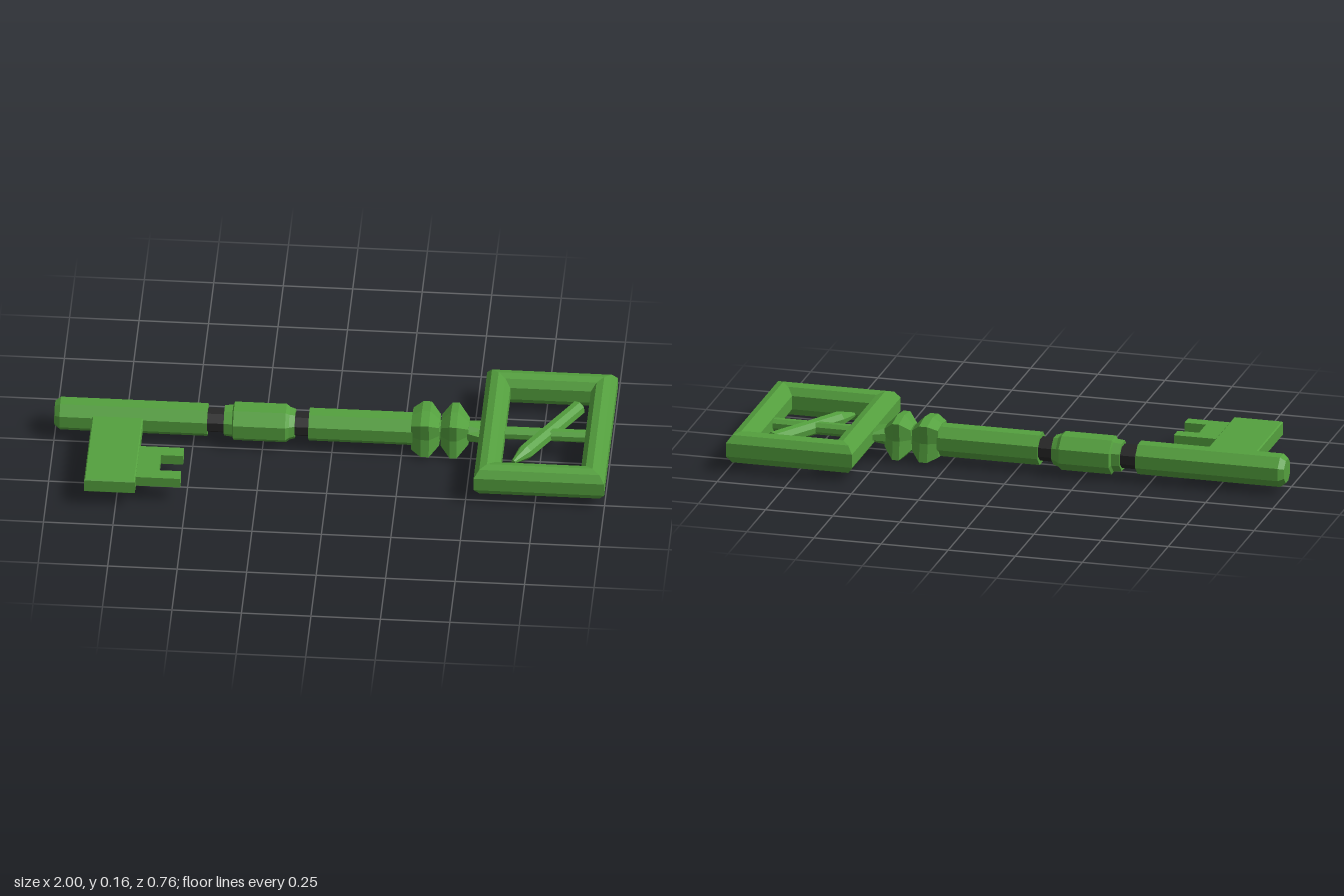
import * as THREE from 'three';

const AXIS_Y = 0.08, AXIS_Z = -0.058;
const green = new THREE.MeshStandardMaterial({ color: 0x54a03e, flatShading: true });
const dark = new THREE.MeshStandardMaterial({ color: 0x262626, flatShading: true });

// Skin a list of rings of [x, y, z]; either closed on itself or capped at both ends.
function skin(rings, closed = false) {
  const pos = [], n = rings[0].length, last = rings.length - 1;
  const tri = (...corners) => corners.forEach(c => pos.push(...c));
  for (let i = 0; i < (closed ? rings.length : last); i++) {
    const p = rings[i], q = rings[(i + 1) % rings.length];
    for (let j = 0; j < n; j++) {
      const k = (j + 1) % n;
      tri(p[j], p[k], q[j]);
      tri(p[k], q[k], q[j]);
    }
  }
  if (!closed) for (let j = 1; j < n - 1; j++) {
    tri(rings[0][0], rings[0][j + 1], rings[0][j]);
    tri(rings[last][0], rings[last][j], rings[last][j + 1]);
  }
  const g = new THREE.BufferGeometry();
  g.setAttribute('position', new THREE.Float32BufferAttribute(pos, 3));
  g.computeVertexNormals();
  return g;
}

// Octagon with flats facing up, down, front and back (unit half-width).
const octagon = Array.from({ length: 8 }, (_, i) => {
  const a = (i + 0.5) * Math.PI / 4, r = 1 / Math.cos(Math.PI / 8);
  return [r * Math.cos(a), r * Math.sin(a)];
});
// Square with peaked top and bottom and pinched sides, used for the knobs.
const peaked = [[1, 0], [0.85, 0.97], [0, 0.85], [-0.85, 0.97],
  [-1, 0], [-0.85, -0.97], [0, -0.85], [0.85, -0.97]];

// Sections are [x, half height, half depth].
const alongX = (outline, sections) => skin(sections.map(([x, h, d = h]) =>
  outline.map(([y, z]) => [x, AXIS_Y + y * h, AXIS_Z + z * d])));

export function createModel() {
  const key = new THREE.Group();
  key.name = 'key';
  const add = (name, geometry, material = green, parent = key) => {
    const m = new THREE.Mesh(geometry, material);
    m.name = name;
    parent.add(m);
    return m;
  };

  // Shaft, bands and collar
  add('shaftTip', alongX(octagon, [[-1, 0.042], [-0.98, 0.056], [-0.45, 0.056]]));
  add('shaftMiddle', alongX(octagon, [[-0.085, 0.056], [0.29, 0.056]]));
  add('collar', alongX(octagon, [[-0.39, 0.052], [-0.36, 0.055], [-0.355, 0.064, 0.071],
    [-0.168, 0.064, 0.071], [-0.155, 0.055, 0.06], [-0.135, 0.05]]));
  add('outerBand', alongX(octagon, [[-0.46, 0.04, 0.046], [-0.38, 0.04, 0.046]]), dark);
  add('innerBand', alongX(octagon, [[-0.145, 0.04, 0.046], [-0.075, 0.04, 0.046]]), dark);

  // Knobs and the flared neck that meets the bow
  add('innerKnob', alongX(peaked, [[0.285, 0.06], [0.32, 0.08], [0.35, 0.08], [0.385, 0.045]]));
  add('knobNeck', alongX(octagon, [[0.37, 0.034], [0.41, 0.034]]));
  add('outerKnob', alongX(peaked, [[0.39, 0.045], [0.425, 0.08], [0.45, 0.08], [0.49, 0.038]]));
  add('bowNeck', alongX(octagon, [[0.48, 0.036], [0.55, 0.022, 0.056]]));

  // Bow: rounded profile swept round a mitred rectangle
  const profile = [[0, -0.025], [0, 0.025], [0.019, 0.052], [0.045, 0.06], [0.071, 0.052],
    [0.09, 0.025], [0.09, -0.025], [0.071, -0.052], [0.045, -0.06], [0.019, -0.052]];
  const corners = [[1, 1], [-1, 1], [-1, -1], [1, -1]];
  add('bowFrame', skin(corners.map(([sx, sz]) => profile.map(([u, y]) =>
    [0.765 + sx * (0.235 - u), AXIS_Y + 1.0 * y + 0.002, AXIS_Z + sz * (0.326 - u)])), true));

  // Crossbar and slanted pointed rod inside the bow
  add('bowCrossbar', alongX(octagon, [[0.6, 0.022], [0.93, 0.022]]));
  const rod = new THREE.Group();
  rod.name = 'slantedRod';
  const from = new THREE.Vector3(0.87, AXIS_Y, -0.227), to = new THREE.Vector3(0.662, AXIS_Y, 0.118);
  const length = from.distanceTo(to), taper = 0.075;
  rod.position.copy(from);
  rod.quaternion.setFromUnitVectors(new THREE.Vector3(0, 1, 0), to.clone().sub(from).normalize());
  add('rodBody', new THREE.CylinderGeometry(0.029, 0.029, length - taper, 8), green, rod)
    .position.y = (length - taper) / 2;
  add('rodPoint', new THREE.CylinderGeometry(0.008, 0.029, taper, 8), green, rod)
    .position.y = length - taper / 2;
  key.add(rod);

  // Bit plate with a narrow bevel, and the forked tooth
  const slab = (points, thickness, bevel) => {
    const shape = new THREE.Shape(points.map(([x, z]) => new THREE.Vector2(x, -z)));
    const g = new THREE.ExtrudeGeometry(shape, {
      depth: thickness - 2 * bevel, bevelEnabled: bevel > 0, bevelSegments: 1,
      bevelSize: bevel, bevelThickness: bevel, bevelOffset: -bevel
    });
    g.translate(0, 0, bevel - thickness / 2);
    g.rotateX(-Math.PI / 2);
    g.translate(0, AXIS_Y + 0.002, 0);
    return g;
  };
  add('bitPlate', slab([[-0.863, 0.38], [-0.68, 0.38], [-0.68, -0.03], [-0.863, -0.03]], 0.054, 0.004));
  add('bitTooth', slab([[-0.7, 0.34], [-0.52, 0.34], [-0.52, 0.292], [-0.6, 0.292],
    [-0.6, 0.2], [-0.52, 0.2], [-0.52, 0.15], [-0.7, 0.15]], 0.038, 0));
  return key;
}
